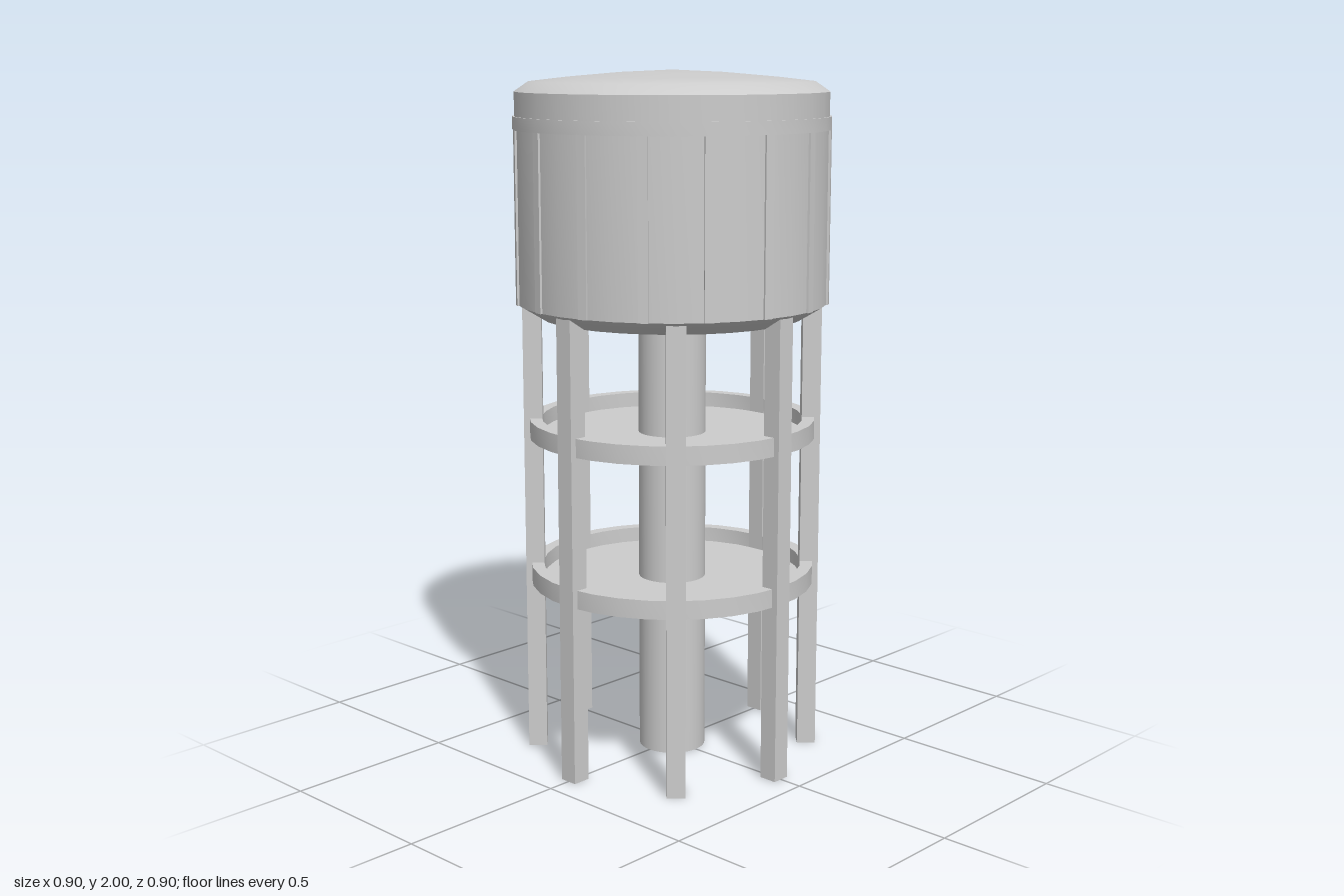
import * as THREE from 'three';
import { toCreasedNormals } from 'three/addons/utils/BufferGeometryUtils.js';

const concrete = new THREE.MeshStandardMaterial({ color: 0xcccccc });
concrete.name = 'concreteGrey';

function add(parent, name, geometry) {
  const mesh = new THREE.Mesh(geometry, concrete);
  mesh.name = name;
  parent.add(mesh);
  return mesh;
}

// Revolved solid with sharp profile corners; profile runs from bottom to top
function turned(profile, sides = 32) {
  const points = profile.map(([r, y]) => new THREE.Vector2(r, y));
  return toCreasedNormals(new THREE.LatheGeometry(points, sides), 0.7);
}

// Box standing on y0..y1, placed at a radius and turned to face outward
function radialBox(parent, name, angle, radius, width, depth, y0, y1) {
  const mesh = add(parent, name, new THREE.BoxGeometry(width, y1 - y0, depth));
  mesh.position.set(Math.sin(angle) * radius, (y0 + y1) / 2, Math.cos(angle) * radius);
  mesh.rotation.y = angle;
}

export function createModel() {
  const tower = new THREE.Group();
  tower.name = 'waterTower';

  // Tank with sloped underside and shallow domed roof
  add(tower, 'tank', turned([
    [0, 1.305], [0.38, 1.305], [0.446, 1.345], [0.446, 1.94],
    [0.405, 1.968], [0.3, 1.98], [0.15, 1.993], [0, 2],
  ]));

  // Raised band around the tank
  add(tower, 'tankBand', turned([
    [0.44, 1.835], [0.452, 1.835], [0.452, 1.872], [0.44, 1.872],
  ]));

  // Sixteen shallow vertical ribs
  const ribs = new THREE.Group();
  ribs.name = 'tankRibs';
  tower.add(ribs);
  for (let i = 0; i < 16; i++) {
    radialBox(ribs, 'rib', ((i + 0.5) * Math.PI) / 8, 0.439, 0.027, 0.024, 1.345, 1.836);
  }

  // Central riser column
  const column = add(tower, 'column', new THREE.CylinderGeometry(0.098, 0.098, 1.31, 32));
  column.position.y = 0.655;

  // Eight outer legs
  const legs = new THREE.Group();
  legs.name = 'legs';
  tower.add(legs);
  for (let i = 0; i < 8; i++) {
    radialBox(legs, 'leg', (i * Math.PI) / 4, 0.404, 0.054, 0.054, 0, 1.338);
  }

  // Two tray-like platforms, each a floor with an upstanding rim
  for (const [name, y] of [['lowerPlatform', 0.517], ['upperPlatform', 0.952]]) {
    add(tower, name, turned([
      [0, y], [0.416, y], [0.416, y + 0.054], [0.38, y + 0.054],
      [0.38, y + 0.01], [0, y + 0.01],
    ]));
  }

  return tower;
}
